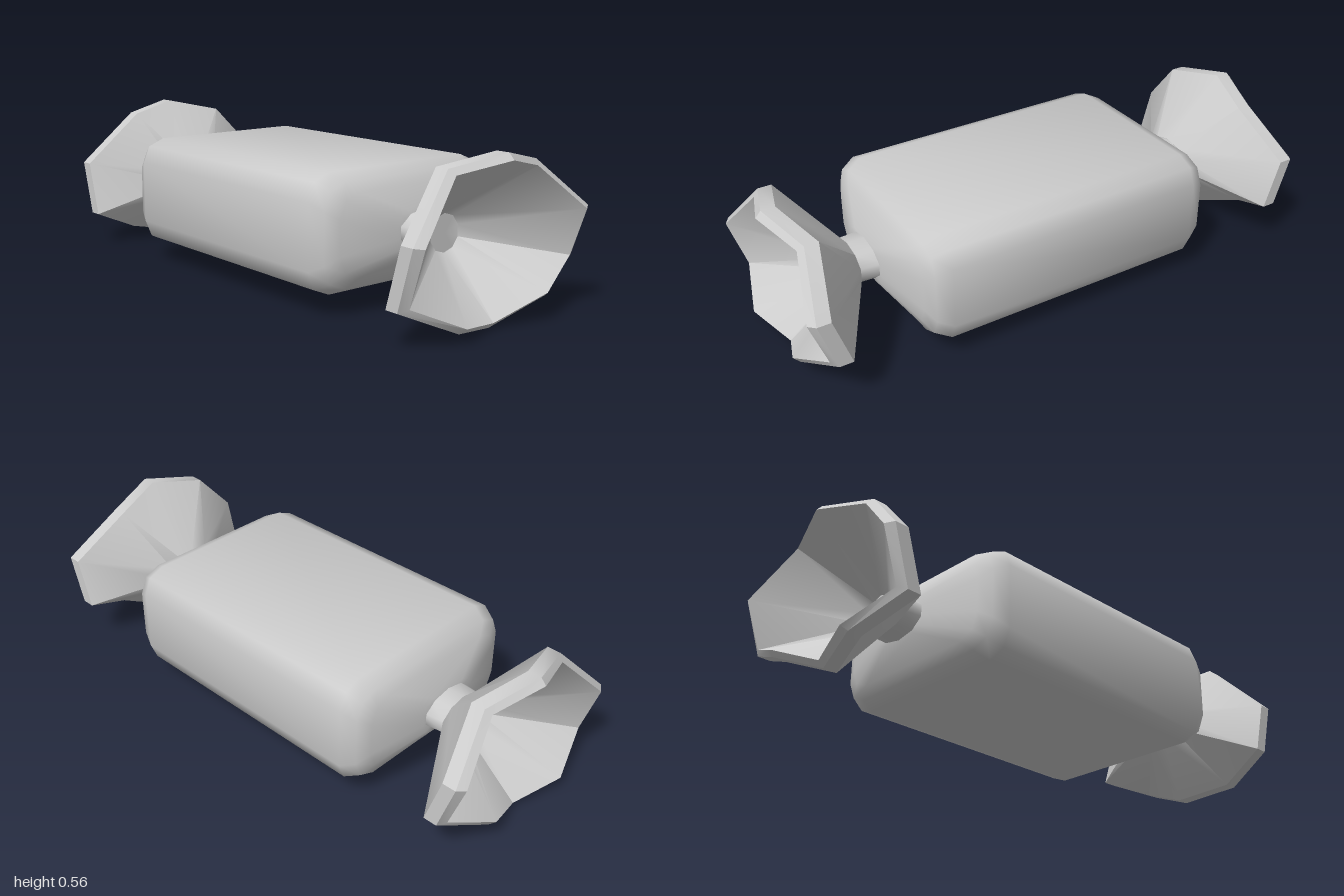
import * as THREE from 'three';
import { toCreasedNormals } from 'three/addons/utils/BufferGeometryUtils.js';

const CY = 0.273; // height of the long axis

// Skin a list of rings running along +x, optionally closing either end.
function loft(rings, crease, startCap, endCap) {
  const pos = [];
  const tri = (...pts) => pts.forEach((p) => pos.push(p.x, p.y, p.z));
  const n = rings[0].length;
  for (let k = 0; k < rings.length - 1; k++) {
    const a = rings[k], b = rings[k + 1];
    for (let i = 0; i < n; i++) {
      const j = (i + 1) % n;
      tri(a[i], a[j], b[j]);
      tri(a[i], b[j], b[i]);
    }
  }
  const cap = (ring, flip) => {
    const c = ring.reduce((s, p) => s.add(p), new THREE.Vector3()).divideScalar(n);
    ring.forEach((p, i) => {
      const q = ring[(i + 1) % n];
      flip ? tri(c, q, p) : tri(c, p, q);
    });
  };
  if (startCap) cap(rings[0], true);
  if (endCap) cap(rings[rings.length - 1], false);
  const g = new THREE.BufferGeometry();
  g.setAttribute('position', new THREE.Float32BufferAttribute(pos, 3));
  return toCreasedNormals(g, crease);
}

// Rectangle with rounded corners in the y-z plane, turning from top to +z.
function roundedSection(x, hy, hz, r) {
  const pts = [];
  for (let c = 0; c < 4; c++) {
    const sy = c === 0 || c === 3 ? 1 : -1, sz = c < 2 ? 1 : -1;
    for (let s = 0; s < 3; s++) {
      const a = (c * Math.PI) / 2 + (s * Math.PI) / 4;
      pts.push(new THREE.Vector3(
        x, CY + sy * (hy - r) + Math.cos(a) * r, sz * (hz - r) + Math.sin(a) * r));
    }
  }
  return pts;
}

// Uneven ten-cornered outline of the flared wrapper: [z, y]
const RIM = [
  [0, 0.567], [0.2, 0.53], [0.397, 0.33], [0.397, 0.125], [0.2, 0.038],
  [0, 0.003], [-0.2, 0.088], [-0.397, 0.178], [-0.397, 0.357], [-0.2, 0.522],
];

// Rim ring: alternate corners lean in and out; scale shrinks the outline.
const rimRing = (xIn, xOut, scale) => RIM.map(([z, y], i) =>
  new THREE.Vector3(i % 2 ? xIn : xOut, CY + (y - CY) * scale, z * scale));

// Oval ring for the twist
const ovalRing = (x, ry, rz) => RIM.map((_, i) => {
  const a = (i / RIM.length) * Math.PI * 2;
  return new THREE.Vector3(x, CY + Math.cos(a) * ry, Math.sin(a) * rz);
});

const mirrored = (rings) => rings.map((ring) =>
  ring.map((p) => new THREE.Vector3(-p.x, p.y, p.z)).reverse());

export function createModel() {
  const group = new THREE.Group();
  const material = new THREE.MeshStandardMaterial({ color: 0xcccccc });
  const add = (name, geometry) => {
    const mesh = new THREE.Mesh(geometry, material);
    mesh.name = name;
    group.add(mesh);
  };

  // Pillow-shaped body, tapering to the twist at both ends
  const half = [
    [0.5, 0.202, 0.39, 0.088], [0.555, 0.176, 0.368, 0.088], [0.578, 0.14, 0.32, 0.08],
    [0.635, 0.07, 0.125, 0.05],
  ];
  const body = [
    ...half.slice().reverse().map(([x, ...s]) => roundedSection(-x, ...s)),
    ...half.map(([x, ...s]) => roundedSection(x, ...s)),
  ];
  add('body', loft(body, 1.0, true, true));

  // Narrow twist between body and flare
  const twist = [ovalRing(0.61, 0.071, 0.12), ovalRing(0.705, 0.071, 0.108)];

  // Flared wrapper end: outer cone, edge band, lip, inner cone
  const flare = [
    ovalRing(0.7, 0.072, 0.11),
    rimRing(0.87, 0.93, 1),
    rimRing(0.92, 0.98, 1),
    rimRing(0.94, 1.0, 0.925),
    ovalRing(0.72, 0.066, 0.066),
  ];

  for (const [side, place] of [['left', (r) => r], ['right', mirrored]]) {
    add(side + 'Twist', loft(place(twist), 0.9, true, true));
    add(side + 'Flare', loft(place(flare), 0.65, true, true));
  }
  return group;
}
